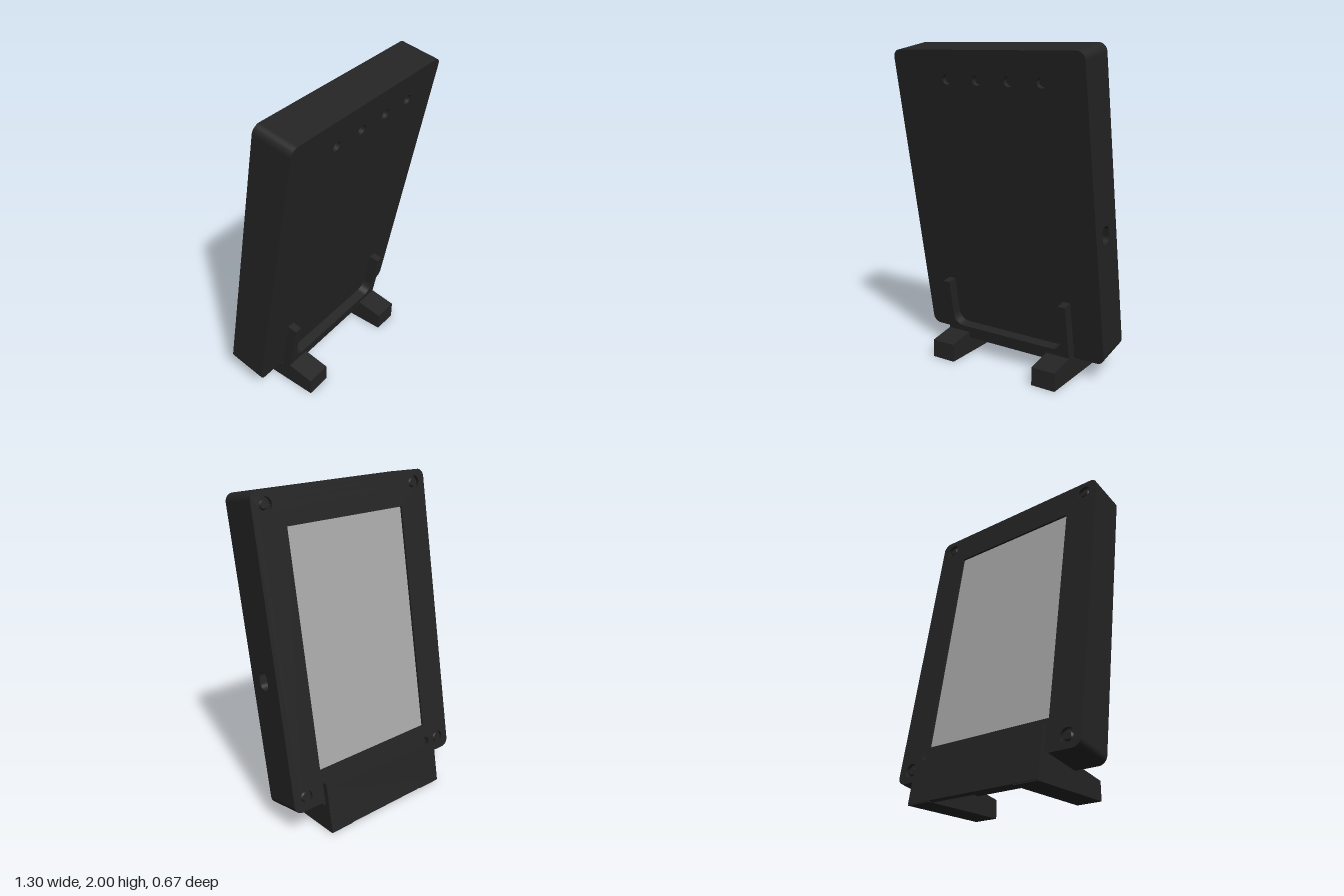
import * as THREE from 'three';

const W = 1.3, H = 1.868, T = 0.248;   // case width, height, thickness
const FRONT = 0.03, BACK = 0.02;       // case wall plates
const TILT = THREE.MathUtils.degToRad(10);

const casing = new THREE.MeshStandardMaterial({ color: 0x242424 });
casing.name = 'blackPlastic';
const grey = new THREE.MeshStandardMaterial({ color: 0xa8a8a8 });
grey.name = 'greyScreen';

function add(parent, name, geometry, material = casing) {
  const mesh = new THREE.Mesh(geometry, material);
  mesh.name = name;
  parent.add(mesh);
  return mesh;
}

// Extrude along z, from z0 to z1
function slab(shape, z0, z1) {
  return new THREE.ExtrudeGeometry(shape, { depth: z1 - z0, bevelEnabled: false, curveSegments: 10 }).translate(0, 0, z0);
}

// Extrude along x, from x0 to x1; the shape is drawn in (-z, y)
function sideways(shape, x0, x1) {
  return slab(shape, x0, x1).rotateY(Math.PI / 2);
}

// Rounded rectangle, with an optional rectangular notch in the +x edge
function rounded(shape, x0, y0, x1, y1, r, notch) {
  shape.moveTo(x0 + r, y0).lineTo(x1 - r, y0);
  shape.absarc(x1 - r, y0 + r, r, -Math.PI / 2, 0);
  if (notch) {
    shape.lineTo(x1, notch.y0).lineTo(x1 - notch.depth, notch.y0);
    shape.lineTo(x1 - notch.depth, notch.y1).lineTo(x1, notch.y1);
  }
  shape.absarc(x1 - r, y1 - r, r, 0, Math.PI / 2);
  shape.absarc(x0 + r, y1 - r, r, Math.PI / 2, Math.PI);
  shape.absarc(x0 + r, y0 + r, r, Math.PI, Math.PI * 1.5);
  return shape;
}

function circle(x, y, r) {
  const path = new THREE.Path();
  path.absarc(x, y, r, 0, Math.PI * 2, true);
  return path;
}

// Upright plate whose top is cut to a U, leaving an arm at each end
function uPlate(bottom, floor, top, outer, inner, r) {
  const s = new THREE.Shape();
  s.moveTo(-outer, bottom).lineTo(outer, bottom).lineTo(outer, top).lineTo(inner, top);
  s.lineTo(inner, floor + r).absarc(inner - r, floor + r, r, 0, -Math.PI / 2, true);
  s.lineTo(-inner + r, floor).absarc(-inner + r, floor + r, r, -Math.PI / 2, -Math.PI, true);
  s.lineTo(-inner, top).lineTo(-outer, top);
  s.closePath();
  return s;
}

const caseOutline = (notch) => rounded(new THREE.Shape(), -W / 2, 0, W / 2, H, 0.05, notch);

function buildCase(parent) {
  // Front wall with a row of four holes
  const front = caseOutline();
  for (let i = 0; i < 4; i++) front.holes.push(circle(-0.27 + i * 0.215, 1.695, 0.03));
  add(parent, 'frontWall', slab(front, -FRONT, 0));

  // Body, notched on the left for the side port
  const notch = { y0: 0.7, y1: 0.9, depth: 0.05 };
  add(parent, 'caseBody', slab(caseOutline(notch), -T + BACK, -FRONT));
  const port = new THREE.Shape();
  port.moveTo(FRONT, notch.y0).lineTo(T - BACK, notch.y0).lineTo(T - BACK, notch.y1).lineTo(FRONT, notch.y1);
  port.closePath();
  port.holes.push(rounded(new THREE.Path(), 0.075, 0.748, 0.153, 0.858, 0.036));
  add(parent, 'sidePort', sideways(port, W / 2 - notch.depth, W / 2));

  // Back frame with the screen window and corner screw holes
  const back = caseOutline();
  const y0 = 0.205, y1 = 1.655, hw = 0.437;
  back.holes.push(new THREE.Path([[-hw, y0], [-hw, y1], [hw, y1], [hw, y0]].map(p => new THREE.Vector2(...p))));
  for (const x of [-0.56, 0.56]) for (const y of [0.08, H - 0.08]) {
    back.holes.push(circle(x, y, 0.044));
    const screw = add(parent, 'screw', new THREE.CylinderGeometry(0.022, 0.03, 0.012, 12).rotateX(-Math.PI / 2));
    screw.position.set(x, y, -T + BACK - 0.005);
  }
  add(parent, 'backFrame', slab(back, -T, -T + BACK));
  const screen = add(parent, 'screen', new THREE.BoxGeometry(hw * 2, y1 - y0, 0.008), grey);
  screen.position.set(0, (y0 + y1) / 2, -T + BACK - 0.003);
}

export function createModel() {
  const model = new THREE.Group();
  model.name = 'displayOnStand';

  // Parts that lean with the case
  const leaning = new THREE.Group();
  leaning.name = 'leaningParts';
  leaning.position.set(0, 0.12, 0.01);
  leaning.rotation.x = TILT;
  model.add(leaning);
  buildCase(leaning);
  add(leaning, 'frontRest', slab(uPlate(-0.003, 0.078, 0.383, 0.454, 0.405, 0.07), 0.01, 0.073));
  add(leaning, 'backRest', slab(uPlate(-0.171, 0.085, 0.142, 0.454, 0.41, 0.03), -0.317, -0.282));

  // Two feet under the case
  const foot = new THREE.Shape([
    [0.26, 0], [0.26, 0.115], [0.085, 0.146], [0.02, 0.116], [-0.262, 0.165], [-0.3, 0.165], [-0.329, 0],
  ].map(([z, y]) => new THREE.Vector2(-z, y)));
  add(model, 'leftFoot', sideways(foot, 0.295, 0.455));
  add(model, 'rightFoot', sideways(foot, -0.455, -0.295));
  return model;
}
